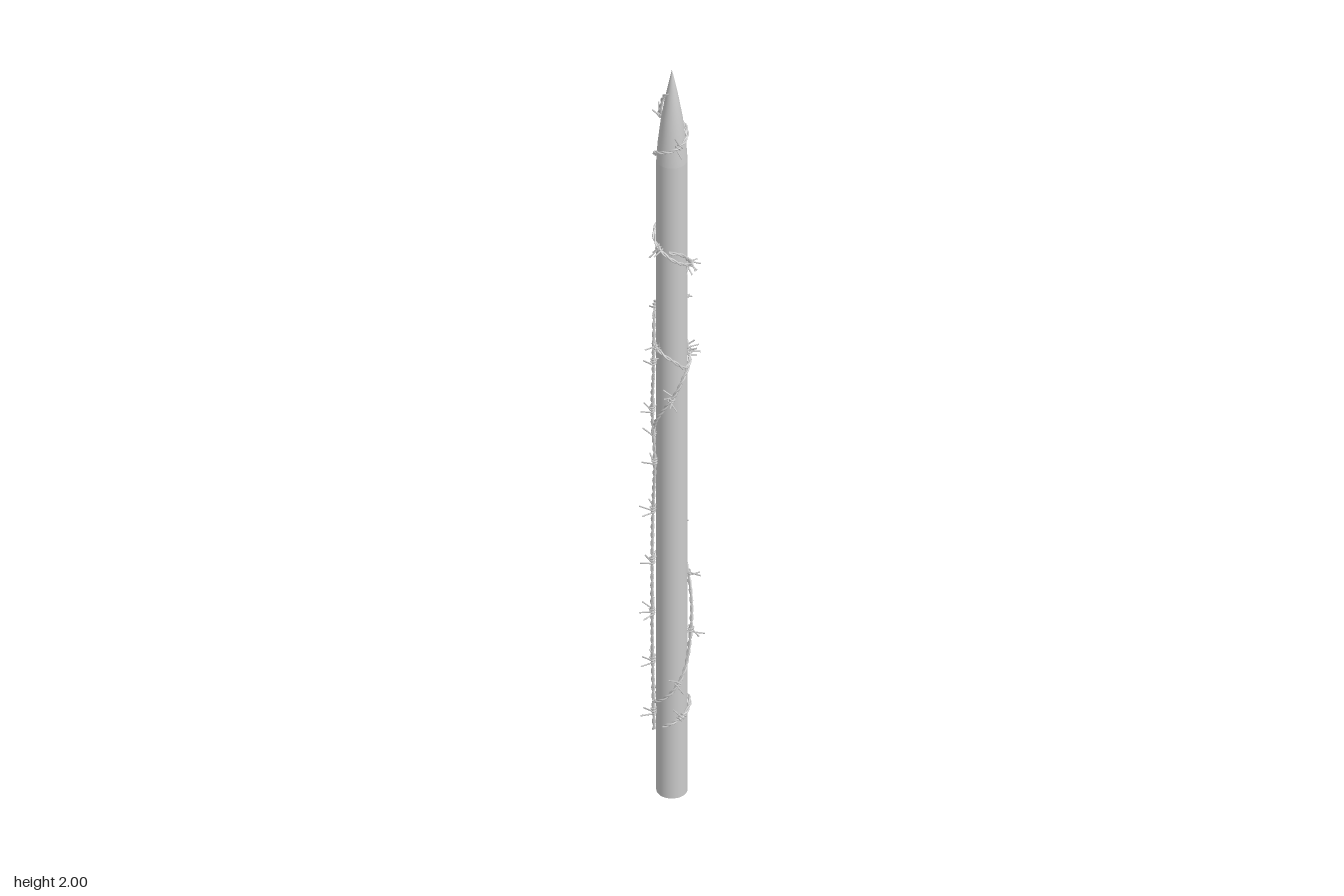
import * as THREE from 'three';

const R = 0.035, CX = -0.002;
const material = new THREE.MeshStandardMaterial({ color: 0xcccccc });
const profile = [[0, 0], [R, 0], [R, 1.75], [0.032, 1.8], [0.024, 1.87], [0.014, 1.93], [0.006, 1.97], [0, 2]];

// Radius of the stake at a given height
function stakeRadius(y) {
  for (let i = 2; i < profile.length - 1; i++) {
    const [r0, y0] = profile[i], [r1, y1] = profile[i + 1];
    if (y > y0 && y <= y1) return r0 + (r1 - r0) * (y - y0) / (y1 - y0);
  }
  return R;
}

let seed = 7;
function random() {
  seed = (seed * 16807) % 2147483647;
  return seed / 2147483647;
}

// Smooth path around the stake from [angle in degrees from the front, height, slack]
function wirePath(stops) {
  const polar = new THREE.CatmullRomCurve3(stops.map(([a, y, slack = 0]) => new THREE.Vector3(a / 360, y, slack)));
  const points = polar.getPoints(160).map((p) => {
    const a = p.x * Math.PI * 2, r = stakeRadius(p.y) + 0.005 + p.z;
    return new THREE.Vector3(Math.sin(a) * r + CX, p.y, Math.cos(a) * r);
  });
  return new THREE.CatmullRomCurve3(points);
}

// One of two strands twisted about a path
class Strand extends THREE.Curve {
  constructor(path, phase) {
    super();
    this.path = path;
    this.phase = phase;
    this.turns = path.getLength() / 0.045;
  }
  getPoint(t, target = new THREE.Vector3()) {
    const tangent = this.path.getTangentAt(t);
    const p = this.path.getPointAt(t);
    const out = new THREE.Vector3(p.x - CX, 0, p.z).normalize();
    const side = new THREE.Vector3().crossVectors(tangent, out).normalize();
    out.crossVectors(side, tangent);
    const a = t * this.turns * Math.PI * 2 + this.phase;
    return target.copy(p).addScaledVector(out, Math.cos(a) * 0.0022).addScaledVector(side, Math.sin(a) * 0.0022);
  }
}

// A short wire knotted round the path, with its two cut ends sticking out
function makeBarb(path, t, turn) {
  const p = path.getPointAt(t), tangent = path.getTangentAt(t);
  const out = new THREE.Vector3(p.x - CX, 0, p.z).normalize();
  const side = new THREE.Vector3().crossVectors(tangent, out).normalize();
  out.crossVectors(side, tangent);
  const at = (angle, r, along) => p.clone().addScaledVector(out, Math.cos(angle) * r)
    .addScaledVector(side, Math.sin(angle) * r).addScaledVector(tangent, along);
  const points = [at(turn, 0.025 + random() * 0.008, -0.01 + random() * 0.006)];
  for (let i = 0; i <= 12; i++) {
    points.push(at(turn + 0.7 + i / 12 * Math.PI * 3, 0.0058, -0.005 + i / 12 * 0.01));
  }
  points.push(at(turn + 1.4 + Math.PI * 3, 0.025 + random() * 0.008, 0.004 + random() * 0.006));
  const curve = new THREE.CatmullRomCurve3(points, false, 'centripetal');
  const barb = new THREE.Mesh(new THREE.TubeGeometry(curve, 40, 0.0018, 5), material);
  barb.name = 'barb';
  return barb;
}

function makeWire(name, stops) {
  const wire = new THREE.Group();
  wire.name = name;
  const path = wirePath(stops);
  path.arcLengthDivisions = 1000;
  const length = path.getLength();
  for (const phase of [0, Math.PI]) {
    const strand = new THREE.Mesh(
      new THREE.TubeGeometry(new Strand(path, phase), Math.round(length * 220), 0.0023, 6), material);
    strand.name = 'strand';
    wire.add(strand);
  }
  // Barbs in pairs at even spacing, most of them pointing away from the stake
  const count = Math.round(length / 0.14);
  for (let i = 0; i < count; i++) {
    const t = (i + 0.35) / count;
    const turn = (random() - 0.5) * 2;
    wire.add(makeBarb(path, t, turn), makeBarb(path, t + 0.006 / length, turn - 0.9));
  }
  return wire;
}

export function createModel() {
  const model = new THREE.Group();
  model.name = 'barbedWireStake';

  // Round shaft and sharpened tip
  const shaft = new THREE.Mesh(new THREE.CylinderGeometry(R, R, 1.75, 32), material);
  shaft.position.set(CX, 0.875, 0);
  shaft.name = 'shaft';
  const tip = new THREE.Mesh(
    new THREE.LatheGeometry(profile.slice(2).map(([r, y]) => new THREE.Vector2(r, y)), 32), material);
  tip.position.x = CX;
  tip.name = 'sharpenedTip';
  model.add(shaft, tip);

  // Wire that winds up the lower and middle shaft
  model.add(makeWire('lowerWire', [
    [-30, 0.2], [30, 0.225], [90, 0.245], [180, 0.25], [270, 0.25], [320, 0.27], [370, 0.31], [420, 0.38],
    [445, 0.48, 0.004], [475, 0.57, 0.003], [510, 0.66], [545, 0.78], [585, 0.9], [630, 1.0], [675, 1.06], [725, 1.12],
    [765, 1.17], [810, 1.2], [900, 1.24], [990, 1.25], [1080, 1.22], [1130, 1.19], [1190, 1.21],
    [1225, 1.28], [1230, 1.36], [1205, 1.43], [1160, 1.47], [1110, 1.51], [1070, 1.52],
  ]));

  // Wire that runs up the left side, then coils round the top
  model.add(makeWire('upperWire', [
    [275, 0.17], [268, 0.35, 0.003], [280, 0.55, 0.005], [272, 0.75, 0.003], [285, 0.92], [275, 1.05, 0.004],
    [290, 1.18, 0.004], [270, 1.3], [215, 1.36], [150, 1.42], [90, 1.46], [40, 1.48], [-20, 1.51], [-60, 1.53],
    [-110, 1.55], [-170, 1.58], [-210, 1.64], [-190, 1.71], [-120, 1.75], [-70, 1.78], [0, 1.8], [70, 1.82],
    [140, 1.84], [210, 1.85], [255, 1.88], [275, 1.92], [330, 1.945],
  ]));
  return model;
}
